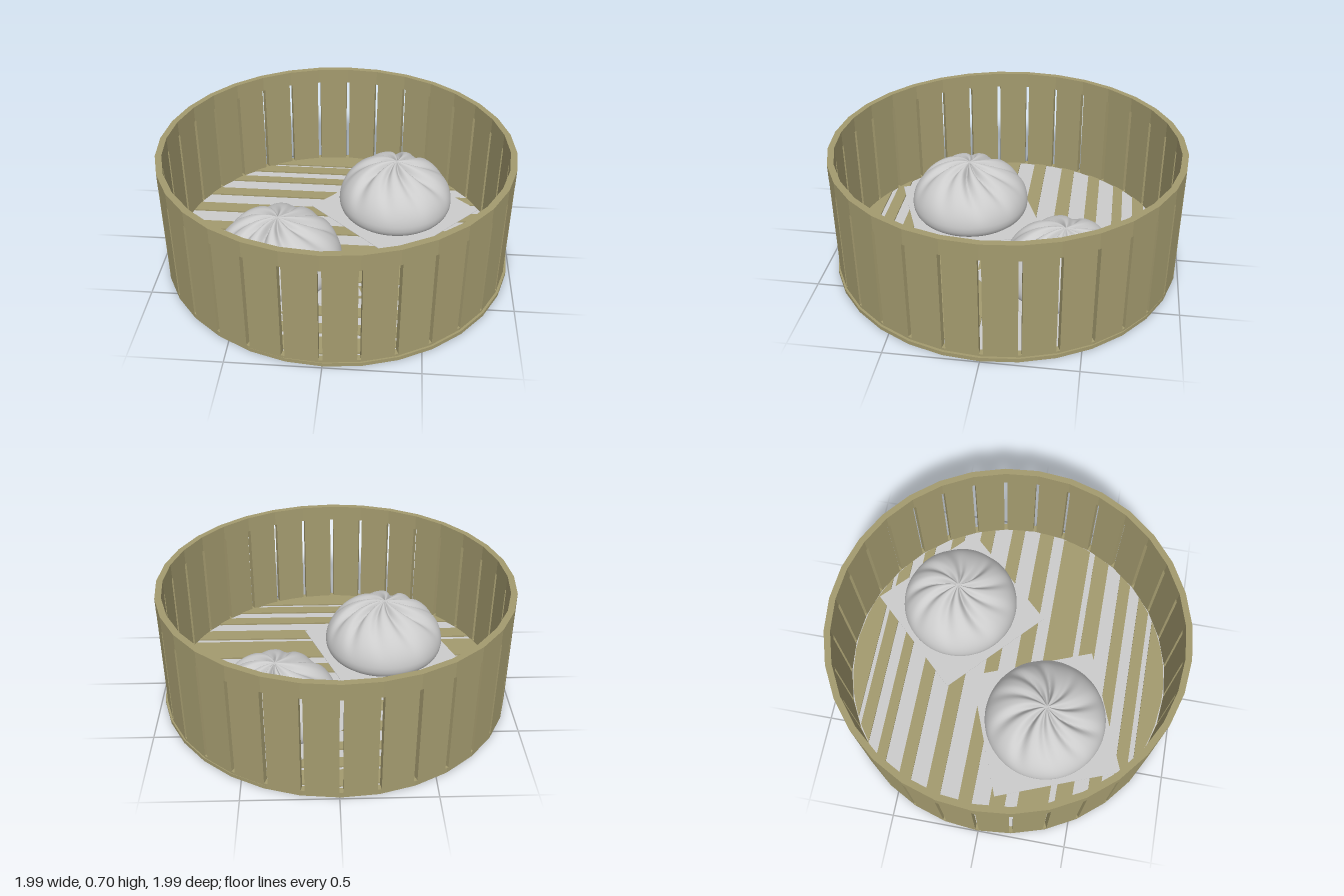
import * as THREE from 'three';
import { mergeVertices } from 'three/addons/utils/BufferGeometryUtils.js';

const SIDES = 32, R_OUT = 0.99, R_IN = 0.955, STEP = (Math.PI * 2) / SIDES;
const bamboo = new THREE.MeshStandardMaterial({ color: 0xa39a6e });
const grey = new THREE.MeshStandardMaterial({ color: 0xcccccc });
const paperGrey = new THREE.MeshStandardMaterial({ color: 0xcccccc, side: THREE.DoubleSide });

function add(parent, name, geometry, material) {
  const mesh = new THREE.Mesh(geometry, material);
  mesh.name = name;
  parent.add(mesh);
  return mesh;
}

// Plan outline (x, -z) raised from y0 to y1
function slab(shape, y0, y1) {
  const g = new THREE.ExtrudeGeometry(shape, { depth: y1 - y0, bevelEnabled: false });
  return g.rotateX(-Math.PI / 2).translate(0, y0, 0);
}

function polygon(r) {
  return Array.from({ length: SIDES }, (_, i) =>
    new THREE.Vector2(r * Math.cos(i * STEP), r * Math.sin(i * STEP)));
}

function ring(y0, y1) {
  const shape = new THREE.Shape(polygon(R_OUT));
  shape.holes.push(new THREE.Path(polygon(R_IN).reverse()));
  return slab(shape, y0, y1);
}

// Upright wall: two solid bands joined by flat staves with narrow slots between
function makeWall() {
  const wall = new THREE.Group();
  wall.name = 'wall';
  add(wall, 'lowerBand', ring(0.004, 0.035), bamboo);
  add(wall, 'upperBand', ring(0.61, 0.7), bamboo);
  const c = Math.cos(STEP / 2), s = Math.sin(STEP / 2), gap = 0.01;
  const stave = slab(new THREE.Shape([
    new THREE.Vector2(R_IN * c, -R_IN * s + gap),
    new THREE.Vector2(R_OUT * c, -R_OUT * s + gap),
    new THREE.Vector2(R_OUT * c, R_OUT * s - gap),
    new THREE.Vector2(R_IN * c, R_IN * s - gap),
  ]), 0.035, 0.61);
  for (let i = 0; i < SIDES; i++) {
    add(wall, 'stave', stave, bamboo).rotation.y = (i + 0.5) * STEP;
  }
  wall.position.set(-0.008, 0, -0.005);
  return wall;
}

// Floor strip between two depths, its ends following the round wall
function slatGeometry(z0, z1, r = 0.945) {
  const right = [], left = [], n = 6;
  for (let i = 0; i <= n; i++) {
    const z = z0 + ((z1 - z0) * i) / n;
    const x = Math.sqrt(Math.max(r * r - z * z, 0.0001));
    right.push(new THREE.Vector2(x, -z));
    left.unshift(new THREE.Vector2(-x, -z));
  }
  return slab(new THREE.Shape([...right, ...left]), 0.03, 0.042);
}

function makeFloor() {
  const floor = new THREE.Group();
  floor.name = 'floor';
  add(floor, 'base', new THREE.CylinderGeometry(0.99, 0.99, 0.022, SIDES)
    .translate(0.005, 0.011, 0), bamboo);
  add(floor, 'liner', new THREE.CylinderGeometry(0.953, 0.953, 0.012, SIDES)
    .translate(-0.008, 0.027, -0.005), grey);
  const slats = [
    [-0.944, -0.825], [-0.8, -0.73], [-0.665, -0.605], [-0.51, -0.435], [-0.335, -0.25],
    [-0.14, -0.06], [0.04, 0.13], [0.2, 0.375], [0.41, 0.505], [0.59, 0.66],
    [0.725, 0.795], [0.825, 0.944],
  ];
  for (const [z0, z1] of slats) {
    add(floor, 'slat', slatGeometry(z0, z1), bamboo).position.set(-0.008, 0, -0.005);
  }
  return floor;
}

// Round bun: a turned dome with swirling pleats pressed in toward the crown
function bunGeometry(radius, pleats, phase) {
  const points = [new THREE.Vector2(0, 0.046), new THREE.Vector2(radius * 0.8, 0.046)];
  const waist = 0.125, rise = 0.265;
  for (let i = 1; i <= 6; i++) {
    const a = (i / 6) * (Math.PI / 2);
    points.push(new THREE.Vector2(radius * (0.8 + 0.2 * Math.sin(a)), waist - 0.079 * Math.cos(a)));
  }
  for (let i = 1; i <= 30; i++) {
    const a = (i / 30) * (Math.PI / 2);
    points.push(new THREE.Vector2(i === 30 ? 0 : radius * Math.cos(a), waist + rise * Math.sin(a)));
  }
  let g = new THREE.LatheGeometry(points, 108);
  g.deleteAttribute('uv');
  g.deleteAttribute('normal');
  const p = g.attributes.position;
  for (let i = 0; i < p.count; i++) {
    const x = p.getX(i), y = p.getY(i), z = p.getZ(i);
    const t = Math.hypot(x, z) / radius;
    if (y <= waist || t < 0.001) continue;
    const angle = Math.atan2(z, x) + phase + 0.5 * t;
    const uneven = 0.75 + 0.25 * Math.sin(3 * angle + phase);
    const fade = Math.min(1, t / 0.25) * Math.pow(Math.max(0, 1 - t * t), 0.7);
    const groove = Math.pow(0.5 + 0.5 * Math.cos(pleats * angle + 0.7 * Math.sin(2 * angle)), 2);
    const press = 0.05 * groove * fade * uneven;
    p.setXYZ(i, x * (1 - press * 0.4), y - press, z * (1 - press * 0.4));
  }
  g = mergeVertices(g, 1e-5);
  g.computeVertexNormals();
  return g;
}

function makeBun(x, z, radius, side, turn, pleats, phase) {
  const bun = new THREE.Group();
  bun.name = 'bunOnPaper';
  add(bun, 'paper', new THREE.BoxGeometry(side, 0.003, side).translate(0, 0.0445, 0), paperGrey)
    .rotation.y = turn;
  add(bun, 'bun', bunGeometry(radius, pleats, phase), grey);
  bun.position.set(x, 0, z);
  return bun;
}

export function createModel() {
  const model = new THREE.Group();
  model.name = 'steamerBasket';
  model.add(
    makeWall(),
    makeFloor(),
    makeBun(-0.31, 0.27, 0.355, 0.75, 0.37, 10, 0.4),
    makeBun(0.33, -0.365, 0.345, 0.735, -0.75, 9, 1.3),
  );
  return model;
}
